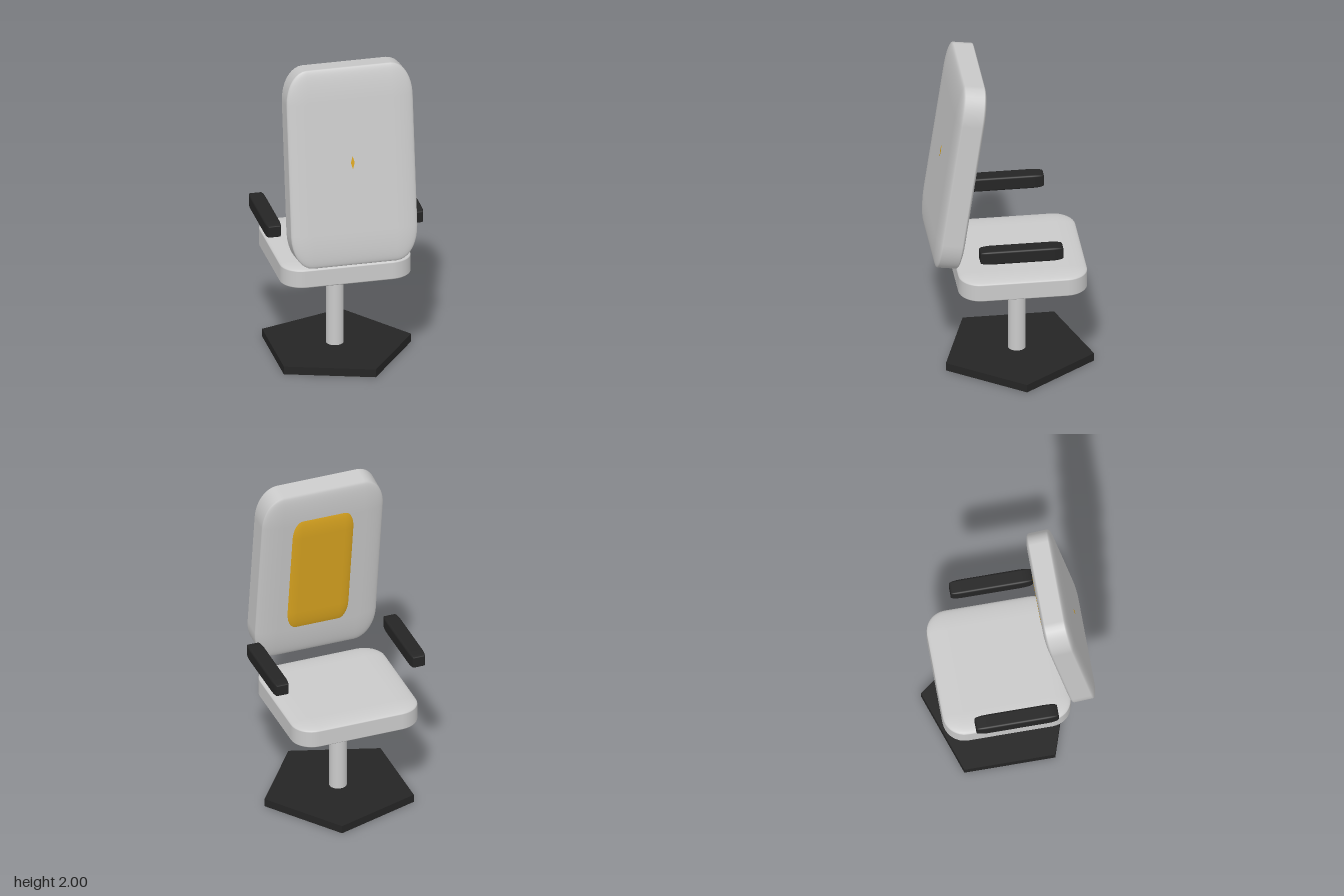
import * as THREE from 'three';
import { RoundedBoxGeometry } from 'three/addons/geometries/RoundedBoxGeometry.js';

const material = (name, color) => {
  const m = new THREE.MeshStandardMaterial({ color });
  m.name = name;
  return m;
};

export function createModel() {
  const grey = material('lightGrey', 0xcacaca);
  const black = material('black', 0x252525);
  const gold = material('gold', 0xdaa520);
  const chair = new THREE.Group();
  chair.name = 'officeChair';

  const add = (parent, name, geometry, mat, x, y, z) => {
    const mesh = new THREE.Mesh(geometry, mat);
    mesh.name = name;
    mesh.position.set(x, y, z);
    parent.add(mesh);
    return mesh;
  };

  // Rounded unit cube stretched to size, so the corner radii stretch with it
  const cushion = (w, h, d, radius = 0.17) =>
    new RoundedBoxGeometry(1, 1, 1, 5, radius).scale(w, h, d);

  const axisZ = -0.045;

  // Five-sided foot plate with one point towards +x
  const foot = new THREE.CylinderGeometry(0.465, 0.465, 0.05, 5, 1, false, Math.PI / 2).toNonIndexed();
  foot.computeVertexNormals();
  add(chair, 'footPlate', foot, black, 0, 0.025, axisZ);

  // Post and seat
  add(chair, 'post', new THREE.CylinderGeometry(0.053, 0.053, 0.55, 32), grey, 0, 0.32, axisZ);
  add(chair, 'seat', cushion(0.795, 0.15, 0.77), grey, 0, 0.656, axisZ);

  // Armrests
  for (const side of [1, -1]) {
    add(chair, side > 0 ? 'leftArmrest' : 'rightArmrest',
      cushion(0.093, 0.088, 0.495, 0.15), black, side * 0.433, 0.937, -0.014);
  }

  // Tilted backrest with its padded panel and the small diamond on the other face
  const back = new THREE.Group();
  back.name = 'backrest';
  back.position.set(0, 1.385, 0.328);
  back.rotation.x = -THREE.MathUtils.degToRad(8.2);
  chair.add(back);
  add(back, 'backCushion', cushion(0.77, 1.227, 0.172), grey, 0, 0, 0);
  add(back, 'backPanel', cushion(0.41, 0.87, 0.16), gold, 0, 0.01, -0.018);
  const diamond = new THREE.CylinderGeometry(1, 1, 0.003, 4).rotateX(Math.PI / 2).scale(0.012, 0.04, 1);
  add(back, 'diamond', diamond, gold, 0, 0.025, 0.0855);

  return chair;
}
